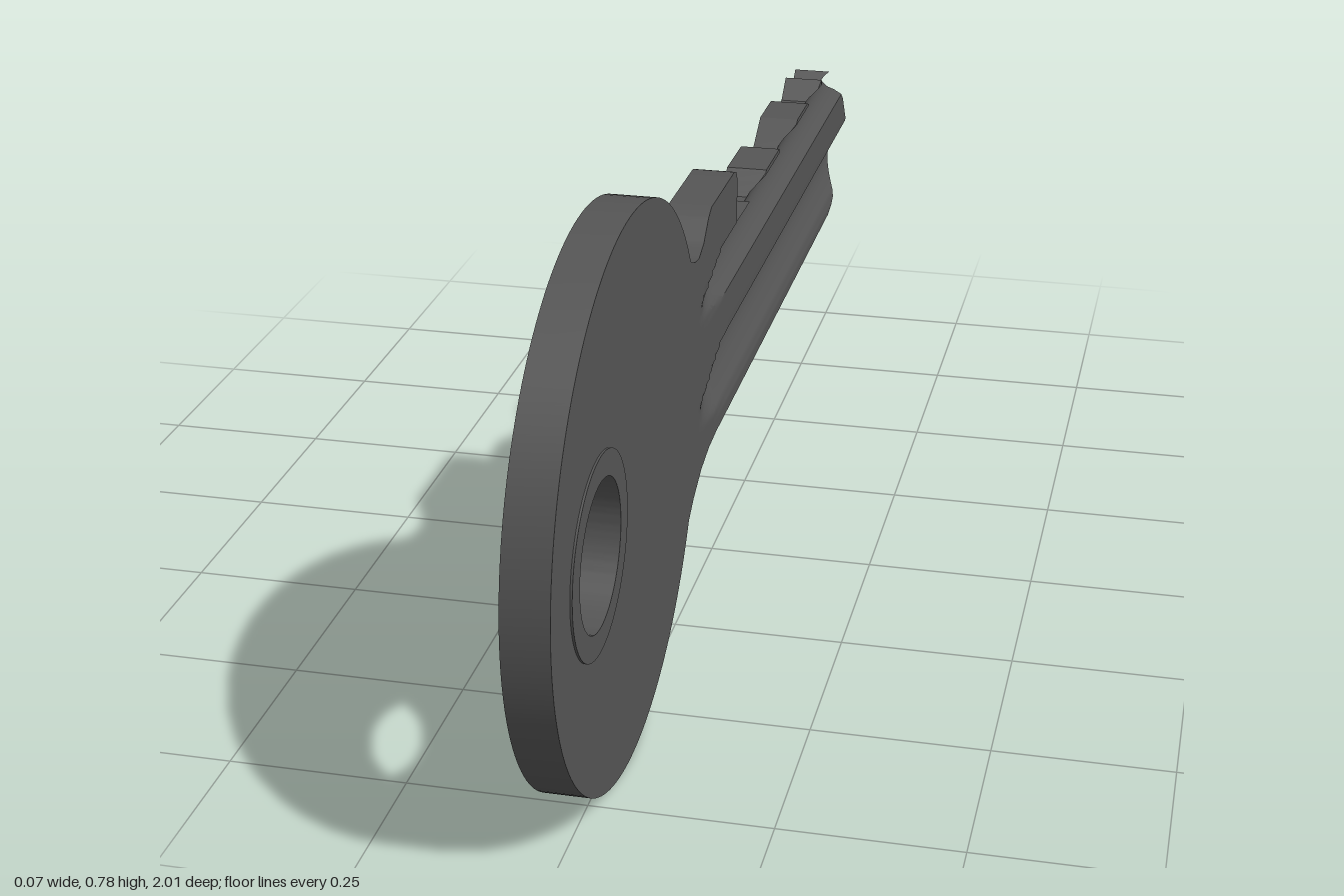
import * as THREE from 'three';
import { toCreasedNormals } from 'three/addons/utils/BufferGeometryUtils.js';

const MID_Y = 0.395, HALF = 0.0315, ROOT_Z = 0.28;
const BOW_Z = 0.615, BOW_R = 0.39, HOLE_Z = 0.785, HOLE_R = 0.1;

// Blade outline as [z, y] from the bow to the tip
const TOP = [
  [0.28, 0.595], [0.255, 0.585], [0.23, 0.581], [0.2, 0.592], [0.17, 0.62], [0.15, 0.63],
  [-0.005, 0.63], [-0.02, 0.625], [-0.028, 0.61], [-0.03, 0.54], [-0.12, 0.543], [-0.155, 0.517],
  [-0.21, 0.517], [-0.25, 0.55], [-0.355, 0.55], [-0.41, 0.505], [-0.44, 0.505], [-0.51, 0.55],
  [-0.6, 0.55], [-0.67, 0.522], [-0.695, 0.522], [-0.73, 0.552], [-0.785, 0.51], [-0.82, 0.54],
  [-0.9, 0.487], [-0.925, 0.475], [-0.965, 0.445], [-0.99, 0.41], [-1, 0.398],
];
const BOTTOM = [
  [0.28, 0.195], [0.25, 0.216], [0.2, 0.24], [0.15, 0.252], [0.1, 0.256], [-0.84, 0.265],
  [-0.87, 0.272], [-0.9, 0.292], [-0.945, 0.335], [-0.97, 0.35], [-0.99, 0.372], [-1, 0.386],
];
// Lengthwise grooves: side, lower edge, deepest line, upper edge, depth
const GROOVES = [
  { side: 1, lo: 0.46, deep: 0.51, hi: 0.542, depth: 0.024 },
  { side: 1, lo: 0.285, deep: 0.36, hi: 0.393, depth: 0.026 },
  { side: -1, lo: 0.385, deep: 0.425, hi: 0.475, depth: 0.026 },
];

function along(line, z) {
  for (let i = 1; i < line.length; i++) {
    const [z0, y0] = line[i - 1], [z1, y1] = line[i];
    if (z >= z1) return y0 + ((y1 - y0) * (z0 - z)) / (z0 - z1);
  }
  return line[line.length - 1][1];
}

// Half thickness of the blade on one side, less the grooves that fade out near the bow
function halfThickness(side, y, z) {
  const t = THREE.MathUtils.smoothstep(0.23 - z, 0, 0.2);
  let x = HALF;
  for (const g of GROOVES) {
    if (g.side !== side || t === 0) continue;
    const c = (g.lo + g.hi) / 2 - 0.012 * (1 - t);
    const v = (g.lo + g.hi) / 2 + (y - c) / (0.35 + 0.65 * t);
    const ramp = v < g.deep ? (v - g.lo) / (g.deep - g.lo) : (g.hi - v) / (g.hi - g.deep);
    x -= g.depth * Math.min(1, t * 1.3) * Math.sin((Math.PI / 2) * THREE.MathUtils.clamp(ramp, 0, 1));
  }
  return x;
}

function bladeGeometry() {
  const zs = [...TOP, ...BOTTOM].map(p => p[0]);
  for (let i = 1; i < 90; i++) zs.push(ROOT_Z - (i / 90) * 1.28);
  const stations = [...new Set(zs)].sort((a, b) => b - a);
  const rows = [];
  for (let y = 0.19; y < 0.642; y += 0.0075) rows.push(y);
  const n = rows.length, ring = 2 * n, pos = [], index = [];
  for (const z of stations) {
    const lo = along(BOTTOM, z), hi = along(TOP, z);
    const ys = rows.map(y => THREE.MathUtils.clamp(y, lo, hi));
    for (const y of ys) pos.push(halfThickness(1, y, z), y, z);
    for (const y of ys.reverse()) pos.push(-halfThickness(-1, y, z), y, z);
  }
  // Leave out triangles that collapse where rows meet the outline
  const A = new THREE.Vector3(), B = new THREE.Vector3(), C = new THREE.Vector3();
  const tri = (a, b, c) => {
    A.fromArray(pos, a * 3);
    B.fromArray(pos, b * 3).sub(A);
    C.fromArray(pos, c * 3).sub(A);
    if (B.cross(C).length() > 1e-10) index.push(a, b, c);
  };
  for (let i = 0; i < stations.length - 1; i++) {
    for (let j = 0; j < ring; j++) {
      const a = i * ring + j, b = i * ring + ((j + 1) % ring);
      tri(a, a + ring, b);
      tri(b, a + ring, b + ring);
    }
  }
  // Tip cap
  const s = (stations.length - 1) * ring;
  for (let j = 0; j < n - 1; j++) {
    const l = s + ring - 1 - j;
    tri(s + j, l, s + j + 1);
    tri(s + j + 1, l, l - 1);
  }
  const geo = new THREE.BufferGeometry();
  geo.setAttribute('position', new THREE.Float32BufferAttribute(pos, 3));
  geo.setIndex(index);
  return geo;
}

// Plate drawn in the side plane, centred on x = 0
function plate(shape, half) {
  return new THREE.ExtrudeGeometry(shape, { depth: 2 * half, bevelEnabled: false, curveSegments: 64 })
    .translate(0, 0, -half).rotateY(Math.PI / 2);
}

function withHole(shape) {
  shape.holes.push(new THREE.Path().absarc(-HOLE_Z, MID_Y, HOLE_R, 0, Math.PI * 2, true));
  return shape;
}

export function createModel() {
  const key = new THREE.Group();
  key.name = 'key';
  const material = new THREE.MeshStandardMaterial({ color: 0x555555 });
  // The whole key leans very slightly
  const lean = new THREE.Matrix4().set(
    1, 0.0105, 0, -0.001 - 0.0105 * MID_Y,
    0, 1, 0, 0,
    0, 0, 1, 0,
    0, 0, 0, 1);
  const add = (name, geo, crease) => {
    const mesh = new THREE.Mesh(toCreasedNormals(geo.applyMatrix4(lean), crease), material);
    mesh.name = name;
    key.add(mesh);
  };

  // Round bow, cut straight where the blade begins
  const open = Math.acos((BOW_Z - ROOT_Z) / BOW_R);
  const bow = new THREE.Shape().absarc(-BOW_Z, MID_Y, BOW_R, open, Math.PI * 2 - open, false);
  add('bow', plate(withHole(bow), HALF), 0.5);

  // Raised collar around the ring hole
  const collar = new THREE.Shape().absarc(-HOLE_Z, MID_Y, 0.135, 0, Math.PI * 2, false);
  add('holeCollar', plate(withHole(collar), HALF + 0.003), 0.5);

  // Grooved blade with shoulder stop and cut teeth
  add('blade', bladeGeometry(), 0.55);
  return key;
}
